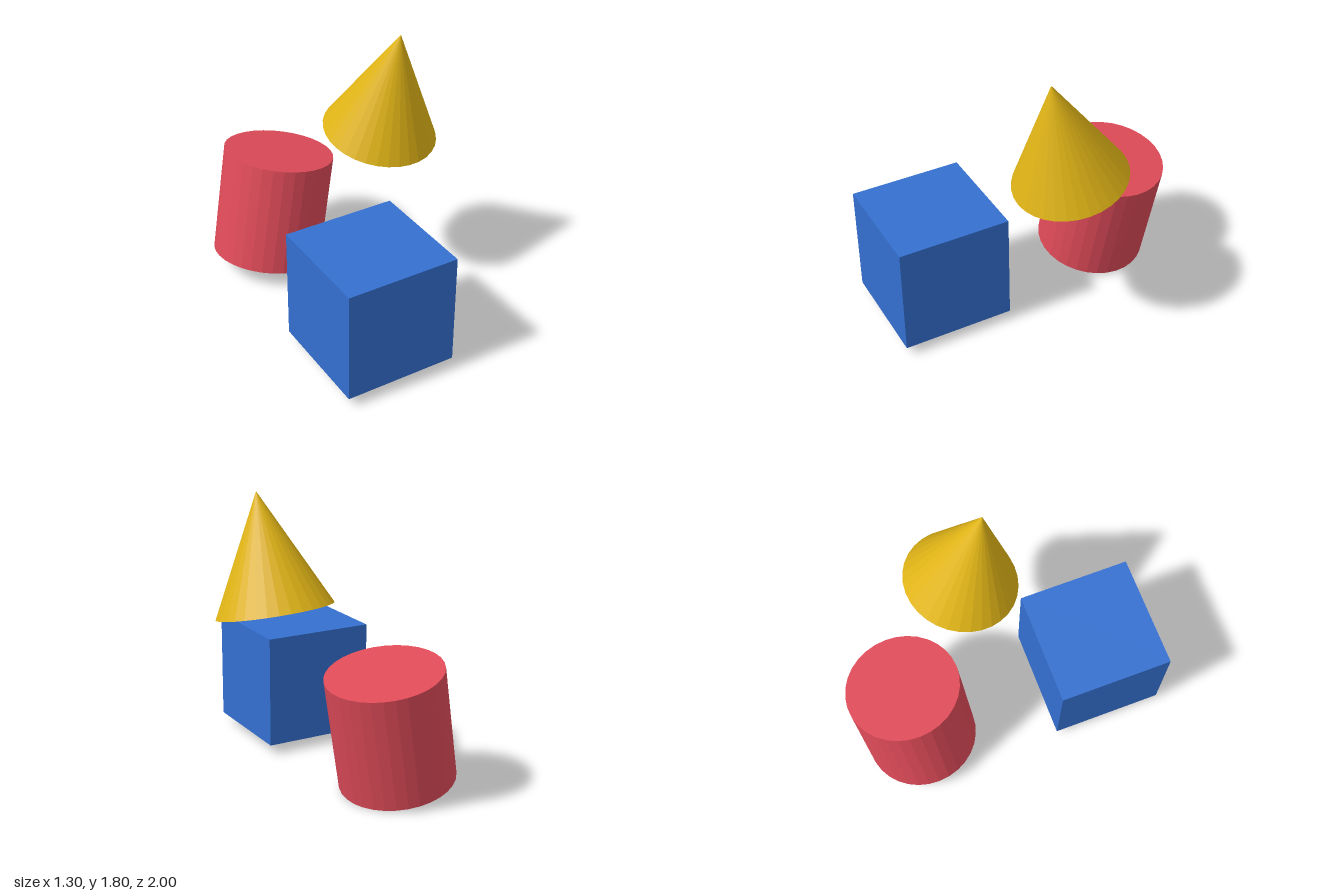
import * as THREE from 'three';

const SIZE = 0.73; // edge length, height and diameter shared by all three solids
const SIDES = 32;

export function createModel() {
  const model = new THREE.Group();

  const addSolid = (name, geometry, color, centre) => {
    const material = new THREE.MeshStandardMaterial({ color, flatShading: true });
    const mesh = new THREE.Mesh(geometry, material);
    mesh.name = name;
    mesh.position.copy(centre);
    model.add(mesh);
    return mesh;
  };

  // Stands a round solid between the centre of its base and its top
  const addTilted = (name, geometry, color, base, top) => {
    const mesh = addSolid(name, geometry, color, base.clone().lerp(top, 0.5));
    const axis = top.clone().sub(base).normalize();
    mesh.quaternion.setFromUnitVectors(new THREE.Vector3(0, 1, 0), axis);
  };

  // Upright cube at the front
  addSolid('cube', new THREE.BoxGeometry(SIZE, SIZE, SIZE), 0x3470d0,
    new THREE.Vector3(-0.225, 0.432, 0.635));

  // Leaning cylinder at the back
  addTilted('cylinder', new THREE.CylinderGeometry(SIZE / 2, SIZE / 2, SIZE, SIDES), 0xe04b59,
    new THREE.Vector3(-0.292, 0.076, -0.592), new THREE.Vector3(-0.155, 0.788, -0.638));

  // Leaning cone floating above
  addTilted('cone', new THREE.ConeGeometry(SIZE / 2, SIZE, SIDES), 0xe0b416,
    new THREE.Vector3(0.281, 1.095, -0.081), new THREE.Vector3(0.32, 1.803, 0.078));

  return model;
}
